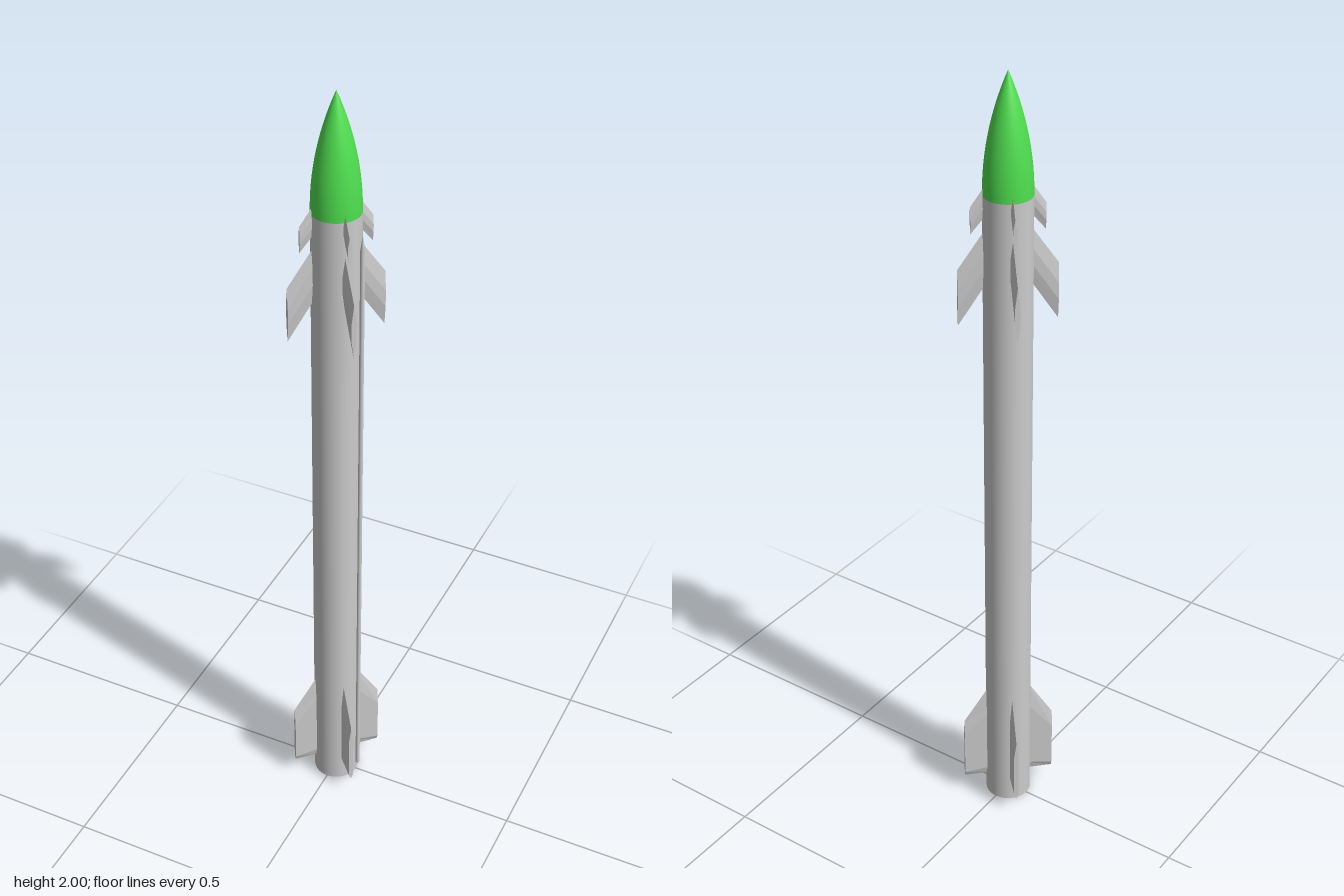
import * as THREE from 'three';

const R = 0.058, SHOULDER = 1.715, HEIGHT = 2;
const grey = new THREE.MeshStandardMaterial({ color: 0xcccccc });
const greyFlat = new THREE.MeshStandardMaterial({ color: 0xcccccc, flatShading: true });
const green = new THREE.MeshStandardMaterial({ color: 0x4fe04f });
const orange = new THREE.MeshStandardMaterial({ color: 0xff9000, side: THREE.DoubleSide });

function addMesh(parent, name, geometry, material) {
  const mesh = new THREE.Mesh(geometry, material);
  mesh.name = name;
  parent.add(mesh);
  return mesh;
}

const lathe = (points) =>
  new THREE.LatheGeometry(points.map(([r, y]) => new THREE.Vector2(r, y)), 48);

// Fin with a bevelled hexagonal section, lofted from root to tip along +x
function finGeometry({ root, tip, span, half, lead, trail }) {
  const section = (x, [bottom, top]) => {
    const chord = top - bottom;
    const a = bottom + chord * trail, b = top - chord * lead;
    return [[x, bottom, 0], [x, a, half], [x, b, half], [x, top, 0], [x, b, -half], [x, a, -half]];
  };
  const positions = [...section(0.045, root), ...section(span, tip)].flat();
  const index = [];
  for (let i = 0; i < 6; i++) {
    const j = (i + 1) % 6;
    index.push(i, i + 6, j, j, i + 6, j + 6);
  }
  for (let i = 1; i < 5; i++) {
    index.push(0, i, i + 1);
    index.push(6, 6 + i + 1, 6 + i);
  }
  const geometry = new THREE.BufferGeometry();
  geometry.setAttribute('position', new THREE.Float32BufferAttribute(positions, 3));
  geometry.setIndex(index);
  const flat = geometry.toNonIndexed();
  flat.computeVertexNormals();
  return flat;
}

// Four copies of a fin on the diagonals
function addFinSet(parent, name, spec) {
  const set = new THREE.Group();
  set.name = name + 's';
  const geometry = finGeometry(spec);
  for (let i = 0; i < 4; i++) {
    addMesh(set, name, geometry, greyFlat).rotation.y = Math.PI / 4 + (i * Math.PI) / 2;
  }
  parent.add(set);
}

export function createModel() {
  const rocket = new THREE.Group();
  rocket.name = 'rocket';

  // Body tube and its tail rim
  addMesh(rocket, 'body', lathe([[R, 0], [R, SHOULDER]]), grey);
  const rim = addMesh(rocket, 'tailRim', new THREE.RingGeometry(0.05, R, 48), grey);
  rim.rotation.x = Math.PI / 2;

  // Recessed exhaust
  addMesh(rocket, 'exhaust', lathe([[0.05, 0], [0.05, 0.08], [0, 0.08]]), orange);

  // Tangent ogive nose
  const length = HEIGHT - SHOULDER;
  const rho = (R * R + length * length) / (2 * R);
  const profile = [];
  for (let i = 0; i <= 20; i++) {
    const h = (length * i) / 20;
    profile.push([Math.max(0, Math.sqrt(rho * rho - h * h) + R - rho), SHOULDER + h]);
  }
  addMesh(rocket, 'nose', lathe(profile), green);

  // Three sets of fins
  addFinSet(rocket, 'tailFin',
    { root: [0.05, 0.35], tip: [0.05, 0.235], span: 0.117, half: 0.006, lead: 0.25, trail: 0.08 });
  addFinSet(rocket, 'wing',
    { root: [1.51, 1.645], tip: [1.4, 1.54], span: 0.117, half: 0.006, lead: 0.35, trail: 0.35 });
  addFinSet(rocket, 'canard',
    { root: [1.675, 1.75], tip: [1.625, 1.69], span: 0.086, half: 0.004, lead: 0.35, trail: 0.35 });

  // Cable conduit along the left side, tapered at both ends
  const conduit = addMesh(rocket, 'conduit',
    lathe([[0, 0.02], [0.0055, 0.03], [0.0055, 1.63], [0, 1.67]]), grey);
  conduit.position.x = 0.064;

  return rocket;
}
